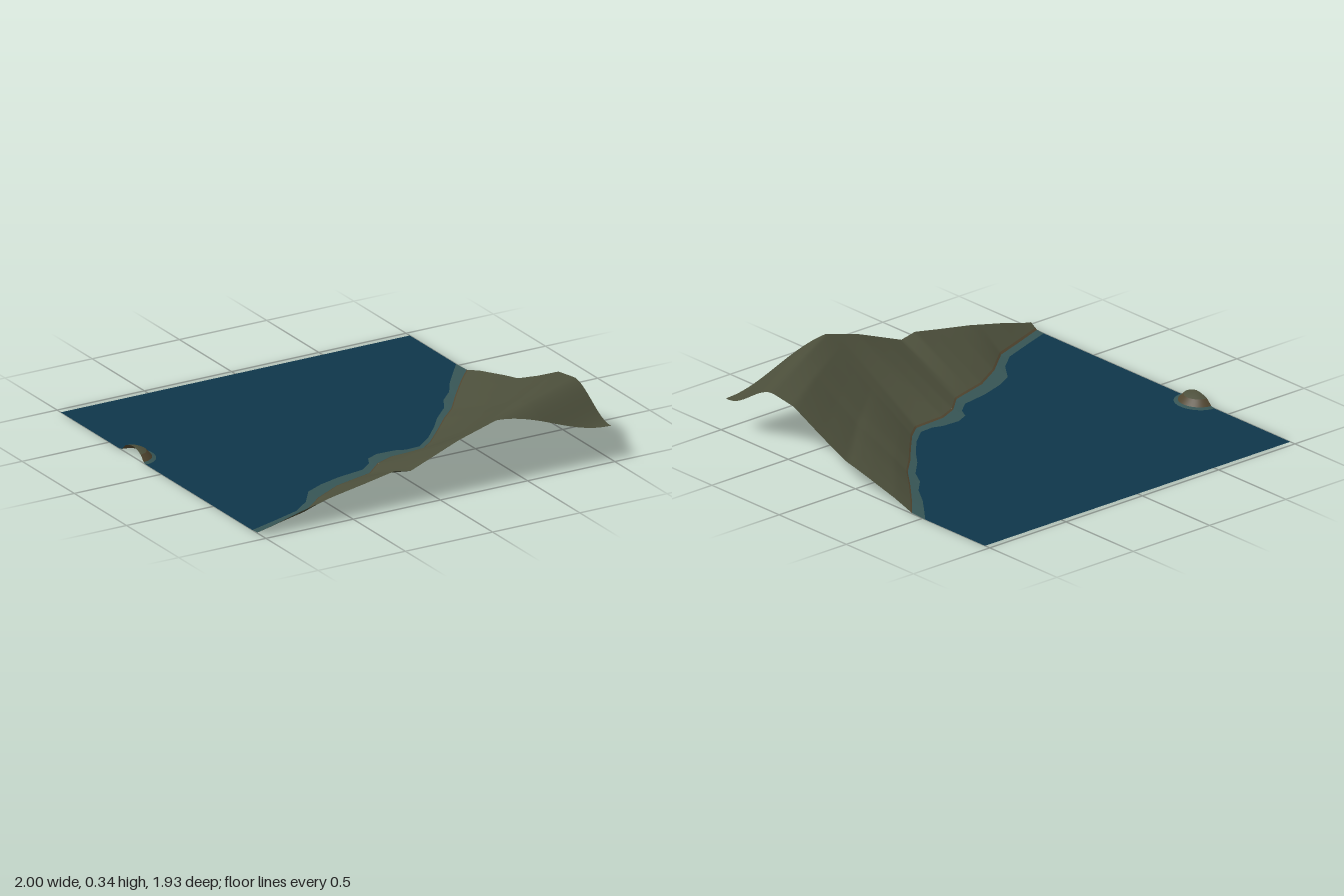
import * as THREE from 'three';

const D = 0.965; // half depth of the tile

// Control points [x, z] of the two coast contours
const shoreOuter = [[-1, .87], [-.85, .82], [-.68, .76], [-.58, .68], [-.5, .57], [-.4, .52], [-.27, .48],
  [-.12, .455], [-.05, .4], [-.02, .34], [.05, .31], [.15, .315], [.2, .335], [.28, .33], [.38, .25],
  [.48, .14], [.55, .05], [.65, -.05], [.7, -.14], [.78, -.22], [.85, -.33], [.92, -.42], [1, -.52]];
const shoreInner = [[-1, .92], [-.82, .855], [-.66, .8], [-.5, .67], [-.34, .58], [-.12, .52], [-.02, .43],
  [.085, .385], [.27, .375], [.35, .315], [.46, .2], [.57, .08], [.67, -.015], [.78, -.16], [.91, -.32], [1, -.42]];
// Crest height along x, and the slope profile from shore to crest at the steep end
const crest = [[-1, .03], [-.95, .04], [-.8, .08], [-.6, .125], [-.4, .16], [-.24, .19], [-.15, .172],
  [0, .23], [.13, .28], [.34, .34], [.6, .335], [1, .315]];
const slope = [[0, 0], [.126, .127], [.22, .2], [.32, .28], [.4, .34], [.47, .385], [.65, .63], [.85, .93], [1, 1]];

function lookup(table, x) {
  let i = 1;
  while (i < table.length - 1 && x > table[i][0]) i++;
  const [x0, y0] = table[i - 1], [x1, y1] = table[i];
  return y0 + (y1 - y0) * THREE.MathUtils.clamp((x - x0) / (x1 - x0), 0, 1);
}

const outer = x => lookup(shoreOuter, x);
const inner = x => lookup(shoreInner, x);
const beachTop = x => inner(x) + 0.012;
const crestZ = x => Math.min(D, D - (x - 0.34) * 0.53);

// Hill: rises from shore to crest, then drops into the hollow at the front corner
function landHeight(x, z) {
  const z0 = inner(x), zr = crestZ(x);
  const t = THREE.MathUtils.clamp((z - z0) / (zr - z0), 0, 1);
  const k = THREE.MathUtils.smoothstep(x, 0.2, 1);
  const rise = THREE.MathUtils.lerp(t, lookup(slope, t), k);
  const drop = 0.137 * THREE.MathUtils.smoothstep(z - zr, 0, 0.33);
  return 0.004 + (lookup(crest, x) - 0.004) * rise - drop;
}

// Surface between two z-curves over the full width
function ribbon(zFrom, zTo, height, cols, rows) {
  const pos = [], index = [];
  for (let i = 0; i <= cols; i++) {
    const x = -1 + 2 * i / cols, a = zFrom(x), b = zTo(x);
    for (let j = 0; j <= rows; j++) {
      const z = a + (b - a) * j / rows;
      pos.push(x, height(x, z), z);
      if (i < cols && j < rows) {
        const p = i * (rows + 1) + j, q = p + rows + 1;
        index.push(p, p + 1, q, q, p + 1, q + 1);
      }
    }
  }
  return surface(pos, index);
}

function surface(pos, index) {
  const g = new THREE.BufferGeometry();
  g.setAttribute('position', new THREE.Float32BufferAttribute(pos, 3));
  g.setIndex(index);
  g.computeVertexNormals();
  return g;
}

// Half-round islet cut by the tile edge: scale 1 is its waterline
const isletPoint = (a, s) => [-1 + 0.11 * s * Math.cos(a), -0.27 + (a < 0 ? 0.13 : 0.12) * s * Math.sin(a)];

function isletBand(rings) { // rings: [scale, height], from outside to inside
  const n = 20, pos = [], index = [];
  rings.forEach(([s, y], r) => {
    for (let i = 0; i <= n; i++) {
      const [x, z] = isletPoint(-Math.PI / 2 + Math.PI * i / n, s);
      pos.push(x, y, z);
      if (r < rings.length - 1 && i < n) {
        const p = r * (n + 1) + i, q = p + n + 1;
        index.push(p, q, p + 1, p + 1, q, q + 1);
      }
    }
  });
  return surface(pos, index);
}

function seaGeometry() {
  const shape = new THREE.Shape();
  shape.moveTo(-1, D);
  shape.lineTo(1, D);
  for (const [x, z] of [...shoreOuter].reverse()) shape.lineTo(x, -z);
  for (let i = 20; i >= 0; i--) {
    const [x, z] = isletPoint(-Math.PI / 2 + Math.PI * i / 20, 1);
    shape.lineTo(x, -z);
  }
  return new THREE.ShapeGeometry(shape).rotateX(-Math.PI / 2);
}

export function createModel() {
  const group = new THREE.Group();
  const material = (name, color) => {
    const m = new THREE.MeshStandardMaterial({ color, side: THREE.DoubleSide });
    m.name = name;
    return m;
  };
  const water = material('deep water', 0x0e364a);
  const shallow = material('shallow water', 0x365454);
  const earth = material('earth', 0x50452f);
  const grass = material('grass', 0x4c4f3b);

  const add = (name, geometry, mat) => {
    const mesh = new THREE.Mesh(geometry, mat);
    mesh.name = name;
    group.add(mesh);
  };

  // Sea and coast
  add('sea', seaGeometry(), water);
  const shelf = (x, z) => 0.004 * THREE.MathUtils.clamp((z - outer(x)) / (inner(x) - outer(x)), 0, 1);
  add('shallows', ribbon(outer, inner, shelf, 200, 2), shallow);
  add('beach', ribbon(inner, beachTop, landHeight, 200, 1), earth);
  add('hill', ribbon(beachTop, () => D, landHeight, 160, 60), grass);

  // Islet at the left edge of the sea
  add('isletShallows', isletBand([[1, 0], [0.82, 0.006]]), shallow);
  add('isletShore', isletBand([[0.82, 0.006], [0.7, 0.022], [0.58, 0.036]]), earth);
  add('isletTop', isletBand([[0.58, 0.036], [0.4, 0.046], [0.2, 0.053], [0, 0.056]]), grass);

  return group;
}
